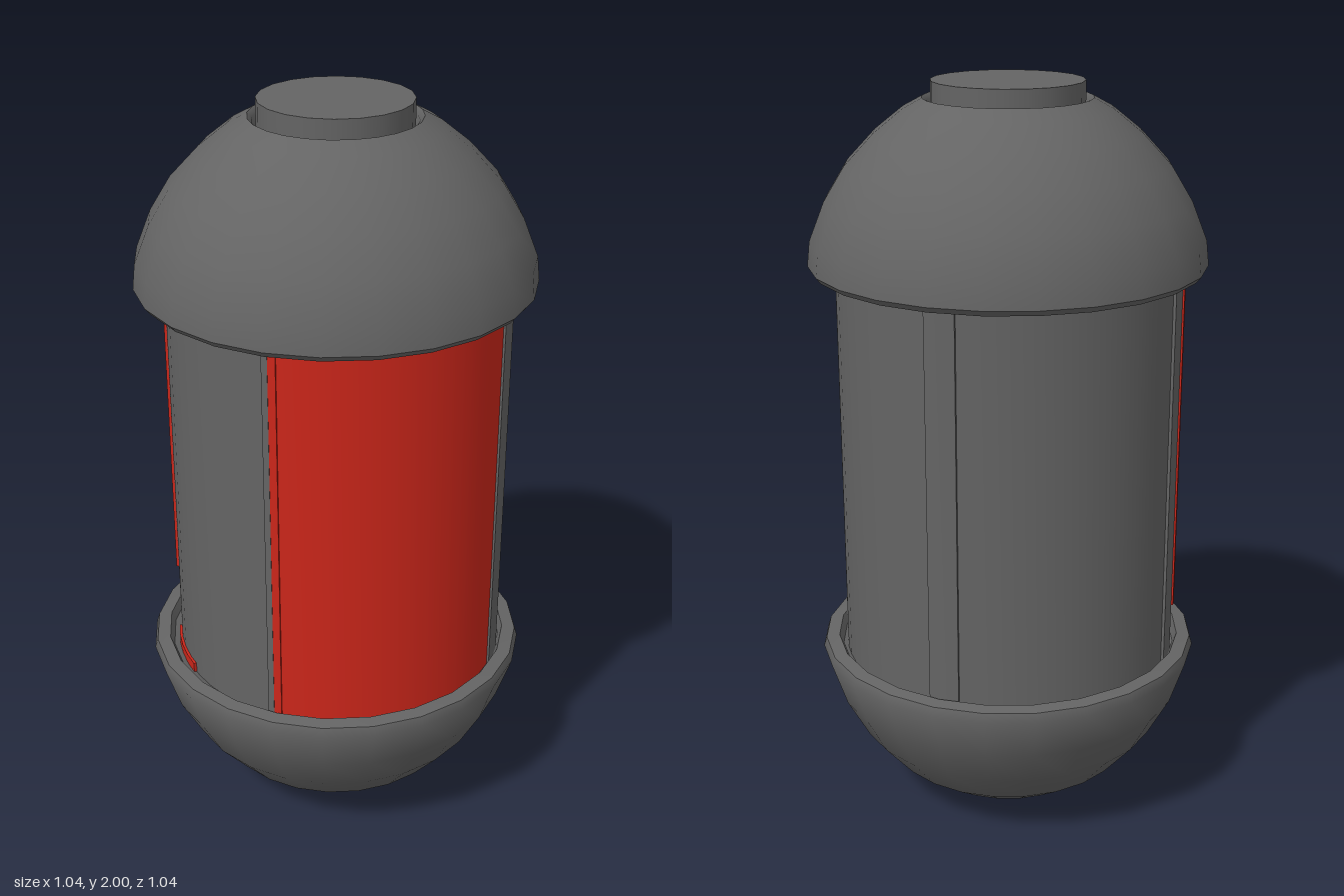
import * as THREE from 'three';
import { toCreasedNormals } from 'three/addons/utils/BufferGeometryUtils.js';

const grey = new THREE.MeshStandardMaterial({ color: 0x646464 });
grey.name = 'dark grey';
const red = new THREE.MeshStandardMaterial({ color: 0xcc261a });
red.name = 'red';

const Y0 = 0.42, Y1 = 1.6; // wall ends, tucked inside the two caps

function add(group, name, geometry, material) {
  const mesh = new THREE.Mesh(geometry, material);
  mesh.name = name;
  group.add(mesh);
  return mesh;
}

// Turned part with crisp edges
function turned(profile) {
  const points = profile.map(([x, y]) => new THREE.Vector2(x, y));
  return toCreasedNormals(new THREE.LatheGeometry(points, 24), 0.75);
}

// Curved plate between two angles (degrees, from +z towards +x)
function plate(from, to, inner, outer, bottom = Y0, top = Y1) {
  const steps = Math.max(2, Math.round((to - from) / 7));
  const at = (r, i) => {
    const a = THREE.MathUtils.degToRad(from + ((to - from) * i) / steps);
    return new THREE.Vector2(r * Math.sin(a), -r * Math.cos(a));
  };
  const points = [];
  for (let i = 0; i <= steps; i++) points.push(at(outer, i));
  for (let i = steps; i >= 0; i--) points.push(at(inner, i));
  const geometry = new THREE.ExtrudeGeometry(new THREE.Shape(points), { depth: top - bottom, bevelEnabled: false });
  geometry.rotateX(-Math.PI / 2).translate(0, bottom, 0);
  return toCreasedNormals(geometry, 0.6);
}

export function createModel() {
  const model = new THREE.Group();
  model.name = 'capsule';

  // Rounded bowl with a rim and a shallow recess around the wall
  add(model, 'bottomBowl', turned([
    [0, 0.003], [0.11, 0.012], [0.23, 0.05], [0.336, 0.122], [0.42, 0.22],
    [0.48, 0.33], [0.52, 0.45], [0.512, 0.475], [0.476, 0.48], [0.465, 0.455], [0.43, 0.44],
  ]), grey);

  // Dome with a hollow underside and an opening at the top
  add(model, 'topDome', turned([
    [0.43, 1.58], [0.478, 1.565], [0.486, 1.525], [0.51, 1.52], [0.522, 1.535], [0.515, 1.6],
    [0.475, 1.7], [0.42, 1.79], [0.345, 1.87], [0.27, 1.93], [0.22, 1.957], [0.208, 1.945], [0.204, 1.89],
  ]), grey);

  // Round button in the opening, with a red gasket at its foot
  const button = add(model, 'topButton', new THREE.CylinderGeometry(0.198, 0.198, 0.12, 20), grey);
  button.position.y = 1.94;
  const gasket = add(model, 'gasket', new THREE.CylinderGeometry(0.212, 0.212, 0.008, 24), red);
  gasket.position.y = 1.905;

  // Inner core behind the wall
  const core = add(model, 'core', new THREE.CylinderGeometry(0.43, 0.43, Y1 - Y0, 48, 1, true), grey);
  core.position.y = (Y0 + Y1) / 2;

  // Four wall panels, one of them red
  add(model, 'redPanel', plate(1, 85, 0.42, 0.459), red);
  for (const [from, to, radius] of [[95, 176, 0.452], [186, 268, 0.457], [278, 356.5, 0.441]]) {
    add(model, 'greyPanel', plate(from, to, 0.42, radius), grey);
  }

  // Upright ribs covering the seams
  for (const [from, to] of [[85, 95], [176, 186], [268, 276], [356.5, 358.5]]) {
    add(model, 'rib', plate(from, to, 0.42, 0.465), grey);
  }

  // Red edge of the front rib, red line beside the far rib and a red sliver in the bowl recess
  add(model, 'redFrontEdge', plate(358.5, 361, 0.42, 0.464), red);
  add(model, 'redFarEdge', plate(276, 277.5, 0.42, 0.47, 0.6, 1.5), red);
  add(model, 'redRecess', plate(292, 318, 0.436, 0.448, Y0, 0.475), red);

  return model;
}
